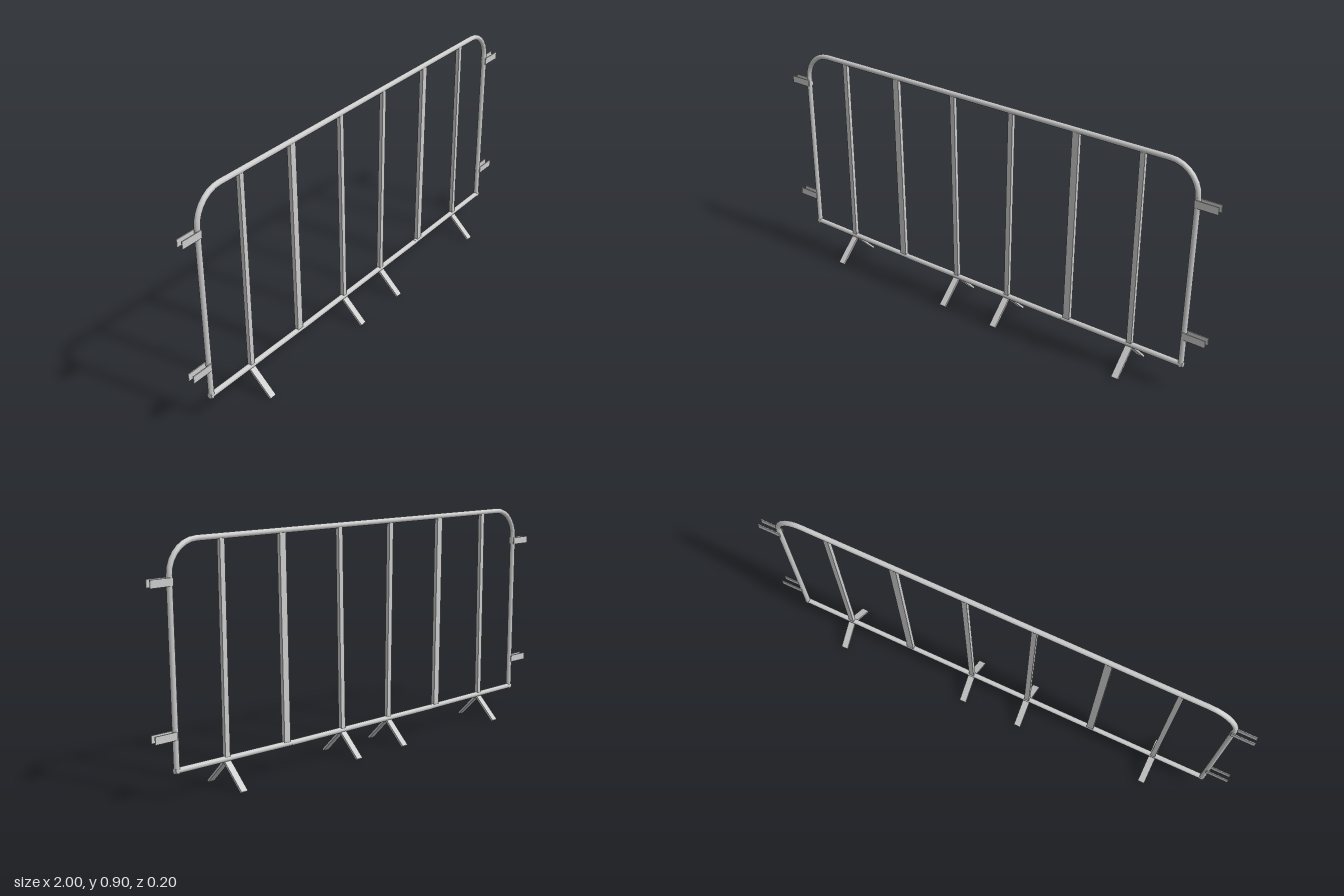
import * as THREE from 'three';

const material = new THREE.MeshStandardMaterial({ color: 0xcccccc });
const R = 0.011; // pipe radius

export function createModel() {
  const model = new THREE.Group();

  const add = (name, geometry, x = 0, y = 0, z = 0) => {
    const mesh = new THREE.Mesh(geometry, material);
    mesh.name = name;
    mesh.position.set(x, y, z);
    model.add(mesh);
    return mesh;
  };

  // Straight member between two points; makeGeometry receives its length
  const span = (name, a, b, makeGeometry) => {
    const from = new THREE.Vector3(...a), to = new THREE.Vector3(...b);
    const dir = to.clone().sub(from);
    const mesh = add(name, makeGeometry(dir.length()));
    mesh.position.copy(from).add(to).multiplyScalar(0.5);
    mesh.quaternion.setFromUnitVectors(new THREE.Vector3(0, 1, 0), dir.normalize());
    return mesh;
  };
  const pipe = (length) => new THREE.CylinderGeometry(R, R, length, 12);
  const bar = (width, depth) => (length) => new THREE.BoxGeometry(width, length, depth);

  // Top and bottom rails, the bottom one sagging slightly in the middle
  span('topRail', [-0.8, 0.894, 0], [0.8, 0.894, 0], pipe);
  span('bottomRailMiddle', [-0.39, 0.101, 0], [0.39, 0.101, 0], pipe);

  for (const s of [-1, 1]) {
    const side = s > 0 ? 'left' : 'right';

    // Rounded upper corner, upright and outer part of the bottom rail
    const corner = add(side + 'Corner', new THREE.TorusGeometry(0.115, R, 12, 7, Math.PI / 2), s * 0.8, 0.779);
    if (s < 0) corner.rotation.z = Math.PI / 2;
    span(side + 'Upright', [s * 0.908, 0.098, 0], [s * 0.915, 0.781, 0], pipe);
    span(side + 'BottomRail', [s * 0.385, 0.102, 0], [s * 0.918, 0.107, 0], pipe);

    // Infill bars, leaning slightly: [bottom x, top x, width]
    for (const [x0, x1, w] of [[0.127, 0.138, 0.021], [0.413, 0.424, 0.029], [0.693, 0.697, 0.021]]) {
      span(side + 'InfillBar', [s * x0, 0.108, 0], [s * x1, 0.892, 0], bar(w, 0.016));
    }

    // Coupling brackets: a pair of plates gripping the upright
    for (const y of [0.232, 0.758]) {
      for (const z of [-0.0115, 0.0115]) {
        add(side + 'BracketPlate', new THREE.BoxGeometry(0.092, 0.029, 0.004), s * 0.954, y, z);
      }
    }

    // Splayed flat feet
    for (const x of [0.127, 0.693]) {
      for (const z of [-1, 1]) {
        span(side + 'Foot', [s * x, 0.098, 0], [s * x, 0.0035, z * 0.095], bar(0.028, 0.009));
      }
    }
  }
  return model;
}
